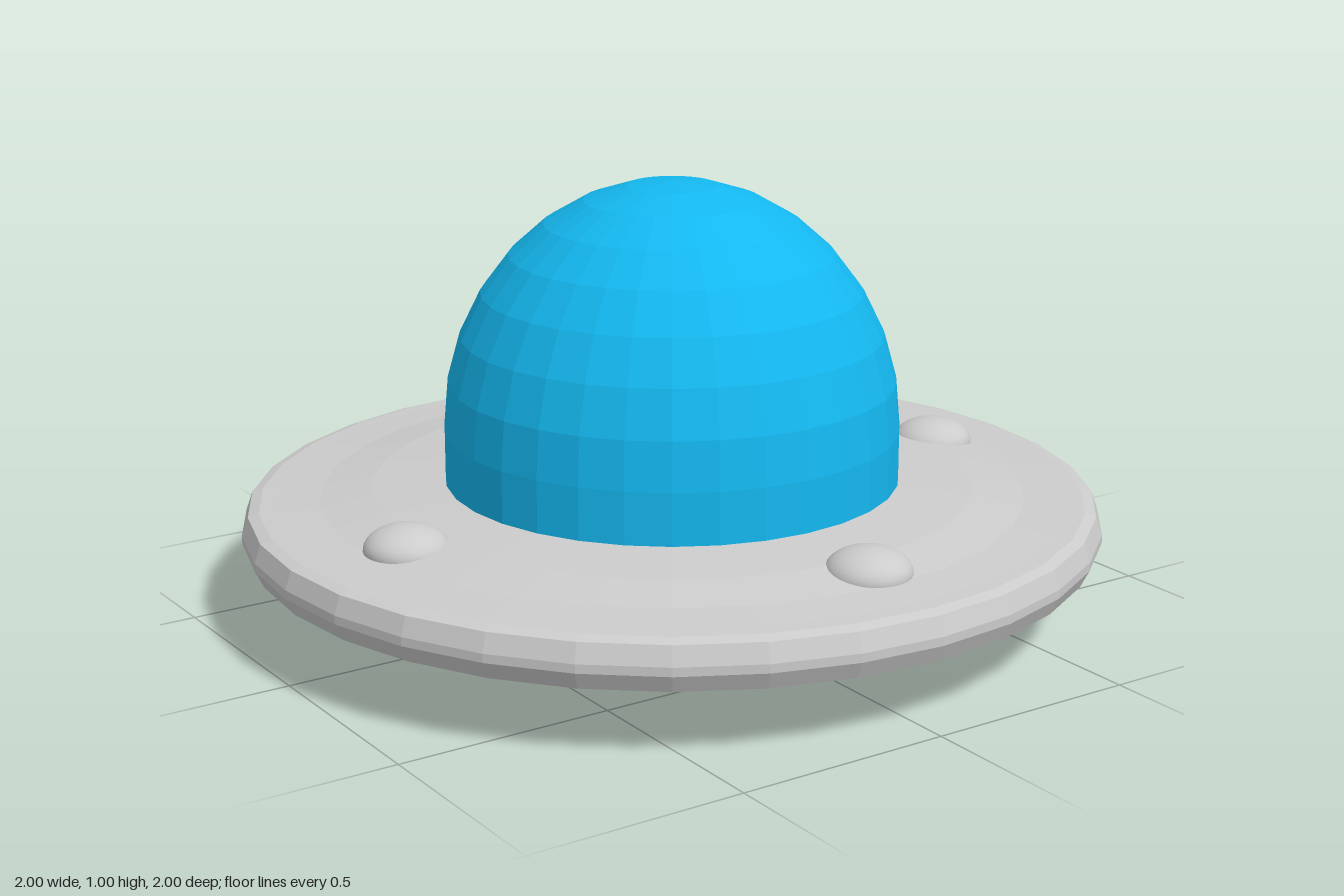
import * as THREE from 'three';

const SIDES = 32;

function material(color, flatShading = true) {
  return new THREE.MeshStandardMaterial({ color, flatShading, side: THREE.DoubleSide });
}

// Revolved part; the profile runs from the underside outwards and up
function lathe(name, profile, mat) {
  const points = profile.map(([r, y]) => new THREE.Vector2(r, y));
  const mesh = new THREE.Mesh(new THREE.LatheGeometry(points, SIDES), mat);
  mesh.name = name;
  return mesh;
}

export function createModel() {
  const model = new THREE.Group();
  model.name = 'flyingSaucer';
  const grey = material(0xcccccc);
  const smoothGrey = material(0xcccccc, false);

  // Ring-shaped hull with a bevelled rim and gently sloping top
  model.add(lathe('hull', [
    [0.91, 0.16], [0.98, 0.16], [1.0, 0.2], [1.0, 0.22], [0.985, 0.262], [0.96, 0.27],
    [0.92, 0.272], [0.82, 0.278], [0.7, 0.297], [0.52, 0.31], [0, 0.31],
  ], grey));

  // Shallow dish below the hull
  model.add(lathe('underside', [
    [0, 0.08], [0.38, 0.085], [0.55, 0.096], [0.7, 0.113], [0.83, 0.138], [0.92, 0.16],
  ], material(0x8a22dd)));

  // Tapered exhaust with a recessed opening
  model.add(lathe('exhaust', [
    [0, 0.07], [0.2, 0.07], [0.2, 0], [0.39, 0.09],
  ], grey));

  // Dome: short straight wall topped by a slightly tall hemisphere
  const radius = 0.53, height = 0.575, base = 0.43;
  const domeProfile = [[radius, 0.3]];
  for (let i = 0; i <= 8; i++) {
    const a = (i / 8) * Math.PI / 2;
    domeProfile.push([i === 8 ? 0 : radius * Math.cos(a), base + height * Math.sin(a)]);
  }
  model.add(lathe('dome', domeProfile, material(0x14b8f0)));

  // Four flattened lights around the hull
  const lightShape = new THREE.SphereGeometry(0.096, 32, 16).scale(1, 0.58, 1);
  const spots = [[0.735, 0.06], [-0.735, 0.06], [0.01, 0.735], [0.01, -0.745]];
  spots.forEach(([x, z], i) => {
    const light = new THREE.Mesh(lightShape, smoothGrey);
    light.name = `light${i + 1}`;
    light.position.set(x, 0.28, z);
    model.add(light);
  });

  return model;
}
